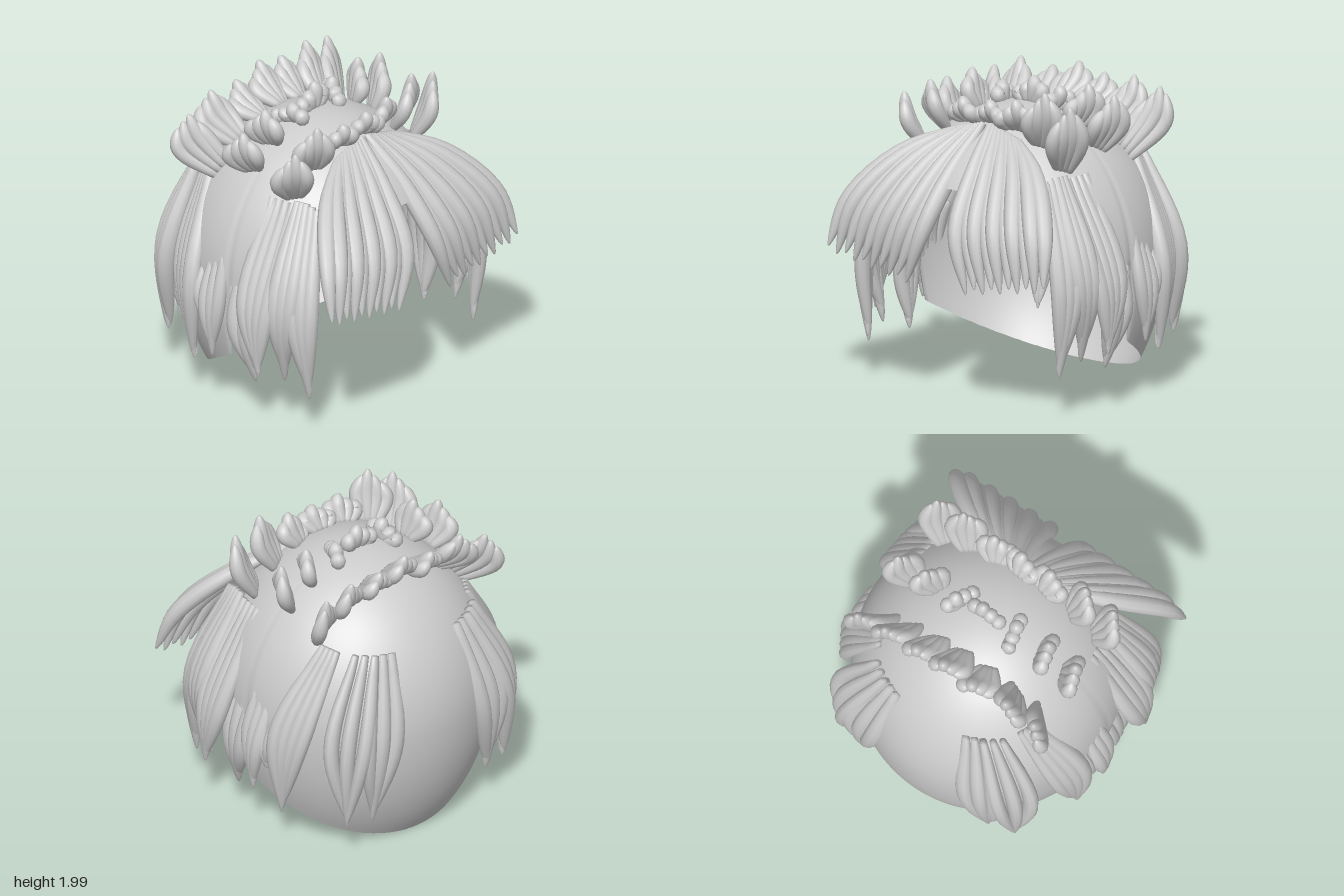
import * as THREE from 'three';
import { mergeGeometries } from 'three/addons/utils/BufferGeometryUtils.js';

const material = new THREE.MeshStandardMaterial({ color: 0xcccccc, side: THREE.DoubleSide });
const V = (x, y, z) => new THREE.Vector3(x, y, z);
const lerp = THREE.MathUtils.lerp;

// Indexed grid of closed rings, with smooth normals
function gridGeometry(rows, n) {
  const g = new THREE.BufferGeometry(), pos = [], index = [];
  rows.forEach(row => row.forEach(p => pos.push(p.x, p.y, p.z)));
  for (let i = 0; i < rows.length - 1; i++) {
    for (let j = 0; j < n; j++) {
      const k = (j + 1) % n;
      const a = i * n + j, b = i * n + k, c = a + n, d = b + n;
      index.push(a, b, c, b, d, c);
    }
  }
  g.setAttribute('position', new THREE.Float32BufferAttribute(pos, 3));
  g.setIndex(index);
  g.computeVertexNormals();
  return g;
}

// One tapered strand swept along a curve; "side" is the direction of its width
function strand(points, side, width, depth, blunt = 4, root = 0.45) {
  const curve = new THREE.CatmullRomCurve3(points);
  const rows = [], segs = 18, sides = 10;
  for (let i = -1; i <= segs; i++) {
    const t = Math.sin(Math.max(i, 0) / segs * Math.PI / 2);
    const p = curve.getPoint(t), tan = curve.getTangent(t);
    const n = tan.clone().cross(side).normalize();
    const s = n.clone().cross(tan).normalize();
    const bulge = root + (1 - root) * Math.sin(2.65 * Math.pow(t, 0.9));
    const f = i < 0 ? 0 : bulge * Math.sqrt(Math.max(0, 1 - Math.pow(t, blunt)));
    const row = [];
    for (let j = 0; j < sides; j++) {
      const a = j / sides * Math.PI * 2;
      row.push(p.clone().addScaledVector(s, Math.cos(a) * width * f).addScaledVector(n, Math.sin(a) * depth * f));
    }
    rows.push(row);
  }
  return gridGeometry(rows, sides);
}

function named(name, geometry) {
  const m = new THREE.Mesh(geometry, material);
  m.name = name;
  return m;
}

// A leaf-shaped lock: strands spread between two edge paths that meet at one tip
function lock(name, edgeA, edgeB, tip, count, side, width, depth) {
  const parts = [];
  for (let i = 0; i < count; i++) {
    const k = i / (count - 1);
    const pts = edgeA.map((p, j) => V(...p).lerp(V(...edgeB[j]), k));
    const end = V(...tip).addScaledVector(side, (k - 0.5) * 0.02);
    end.y += Math.abs(k - 0.5) * 0.06;
    parts.push(strand([...pts, end], side, width, depth));
  }
  return named(name, mergeGeometries(parts));
}

// Scalp: a dome that is taller below its widest line
const CY = 0.85, CZ = -0.015, RX = 0.87, RZ = 0.885, UP = 0.95, DOWN = 1.205;
function scalpPoint(phi, a) {
  const h = phi < Math.PI / 2 ? UP : DOWN;
  return V(Math.sin(phi) * Math.sin(a) * RX, CY + h * Math.cos(phi), CZ + Math.sin(phi) * Math.cos(a) * RZ);
}
function scalpHeight(x, z) {
  return CY + UP * Math.sqrt(Math.max(0, 1 - (x / RX) ** 2 - ((z - CZ) / RZ) ** 2));
}
function scalpBack(x, y) {
  const h = y > CY ? UP : DOWN;
  return CZ - RZ * Math.sqrt(Math.max(0, 1 - (x / RX) ** 2 - ((y - CY) / h) ** 2));
}
// Rim height: slanted nape, a step at the ears, then up to the forehead
function rimHeight(z) {
  if (z < 0) return 0.4 + 0.6 * z;
  if (z < 0.57) return lerp(0.88, 1.1, z / 0.57);
  return lerp(1.1, 1.38, Math.min(1, (z - 0.57) / 0.15));
}
function makeScalp() {
  const cols = 144, levels = 36, rims = [];
  for (let j = 0; j < cols; j++) {
    const a = j / cols * Math.PI * 2;
    let phi = 0.3, p = scalpPoint(phi, a);
    while (p.y > rimHeight(p.z) && phi < 3) p = scalpPoint(phi += 0.003, a);
    rims.push(phi);
  }
  const rows = [];
  for (let i = levels; i >= 0; i--) {
    rows.push(rims.map((phi, j) => scalpPoint(phi * i / levels, j / cols * Math.PI * 2)));
  }
  return named('scalp', gridGeometry(rows, cols));
}

// Fringe: strands combed from the middle parting out to each side
function makeFringe(s) {
  const parts = [], count = 10;
  for (let i = 0; i < count; i++) {
    const k = i / (count - 1), odd = i % 2;
    const pts = [
      V(s * lerp(0.03, 0.25, k), lerp(1.73, 1.66, k), 0.37),
      V(s * lerp(0.08, 0.54, k), lerp(1.46, 1.5, k), 0.62 - 0.05 * k - odd * 0.02),
      V(s * lerp(0.13, 0.78, k), lerp(1.13, 1.21, k), 0.84 - 0.04 * k - odd * 0.03),
      V(s * lerp(0.24, 0.86, k), lerp(0.77, 0.88, k) + odd * 0.03, 0.88)
    ];
    parts.push(strand(pts, V(1, 0, 0), 0.062, 0.06, 4, 0.35));
  }
  return named(s > 0 ? 'leftFringe' : 'rightFringe', mergeGeometries(parts));
}

// Crown tuft: a broad fan of plump strands, tallest in the middle
function makeTuft(x, z, top, lean, turn) {
  const dir = V(Math.cos(turn), 0, Math.sin(turn)), parts = [];
  for (let i = 0; i < 4; i++) {
    const k = (i - 1.5) / 1.5;
    const bx = x * 0.9 + dir.x * k * 0.04, bz = z + dir.z * k * 0.04;
    const base = V(bx, scalpHeight(bx, bz) - 0.01, bz);
    const tip = V(x * 1.07 + dir.x * k * 0.05, top - 0.07 * Math.abs(k - 0.33), z + lean + dir.z * k * 0.05);
    const mid = base.clone().lerp(tip, 0.55);
    mid.add(V(x * 0.05 + dir.x * k * 0.045, 0, lean * 0.2 + dir.z * k * 0.045));
    parts.push(strand([base, mid, tip], dir, 0.05, 0.05, 5, 0.5));
  }
  return named('crownTuft', mergeGeometries(parts));
}

export function createModel() {
  const group = new THREE.Group();
  group.add(makeScalp());

  // Locks on both sides of the head
  const along = V(0, 0, 1);
  for (const s of [1, -1]) {
    group.add(makeFringe(s));
    const flip = ([x, y, z]) => [s * x, y, z];
    const add = (name, a, b, tip, n, side, w, d) =>
      group.add(lock(name, a.map(flip), b.map(flip), flip(tip), n, V(s * side.x, side.y, side.z), w, d));

    add('templeLock', [[0.57, 1.46, 0.49], [0.78, 0.85, 0.62]], [[0.59, 1.49, 0.42], [0.83, 0.85, 0.52]],
      [0.76, 0.26, 0.6], 3, V(-0.3, 0, 1), 0.06, 0.055);
    add('templeLock', [[0.59, 1.49, 0.42], [0.84, 0.87, 0.51]], [[0.6, 1.49, 0.36], [0.87, 0.87, 0.41]],
      [0.79, 0.34, 0.42], 3, V(-0.3, 0, 1), 0.06, 0.055);
    add('sideLock', [[0.6, 1.46, 0.32], [0.89, 0.85, 0.36]], [[0.62, 1.47, 0.17], [0.91, 0.85, 0.19]],
      [0.93, 0.38, 0.32], 4, along, 0.06, 0.05);
    add('innerSideLock', [[0.78, 1.0, 0.2], [0.83, 0.6, 0.19]], [[0.8, 0.92, 0.04], [0.85, 0.6, 0.06]],
      [0.78, 0.25, 0.17], 3, along, 0.06, 0.05);
    add('earLock', [[0.82, 1.08, -0.06], [0.89, 0.75, -0.05]], [[0.8, 1.05, -0.16], [0.9, 0.72, -0.15]],
      [0.89, 0.38, -0.1], 3, along, 0.05, 0.045);
    add('earLock', [[0.81, 1.0, -0.17], [0.88, 0.78, -0.17]], [[0.79, 0.98, -0.23], [0.87, 0.78, -0.23]],
      [0.87, 0.55, -0.2], 2, along, 0.04, 0.04);
    add('rearSideLock', [[0.57, 1.46, -0.4], [0.87, 0.87, -0.29]], [[0.53, 1.44, -0.48], [0.78, 0.87, -0.45]],
      [0.83, 0.27, -0.3], 4, V(-0.5, 0, 1), 0.06, 0.05);
    add('backLock', [[0.47, 1.44, -0.59], [0.71, 0.87, -0.64]], [[0.37, 1.43, -0.66], [0.56, 0.87, -0.79]],
      [0.63, 0.28, -0.7], 3, V(1, 0, -0.6), 0.066, 0.05);
    add('backLock', [[0.36, 1.42, -0.65], [0.53, 0.87, -0.79]], [[0.26, 1.42, -0.69], [0.34, 0.87, -0.83]],
      [0.46, 0.28, -0.74], 3, V(1, 0, -0.4), 0.066, 0.05);
  }

  // Nape locks lying just inside the back of the scalp
  for (let i = 0; i < 6; i++) {
    const x = -0.43 + i * 0.17;
    const at = (px, y) => [px, y, scalpBack(px, y) + 0.055];
    const edge = d => [at((x + d) * 0.75, 1.35), at(x + d, 0.7)];
    group.add(lock('napeLock', edge(-0.05), edge(0.05), at(x * 0.92, 0.25 + Math.abs(x) * 0.06), 3, V(1, 0, 0), 0.05, 0.045));
  }

  // Three rows of tufts over the crown: front, middle, rear
  const xs = [-0.62, -0.43, -0.2, 0, 0.19, 0.41, 0.6];
  const rows = [
    { z: 0.29, lean: 0.08, turns: [0.9, 0.7, 0.3, 0.2, -0.3, -0.5, -0.8], tops: [1.84, 1.95, 1.88, 1.89, 1.92, 2.0, 1.94] },
    { z: -0.05, lean: -0.02, turns: [1.3, 1.4, 1.4, 0, -1.1, -1, -1], tops: [1.85, 1.94, 1.9, 1.96, 1.92, 1.97, 1.93] },
    { z: -0.32, lean: -0.21, turns: [0.7, 0.3, -0.4, -0.3, -0.3, -0.4, -0.5], tops: [1.83, 1.92, 1.9, 1.96, 1.92, 1.94, 1.9] }
  ];
  rows.forEach(({ z, lean, turns, tops }) => xs.forEach((x, i) => {
    group.add(makeTuft(x, z, tops[i], lean, turns[i]));
  }));
  return group;
}
